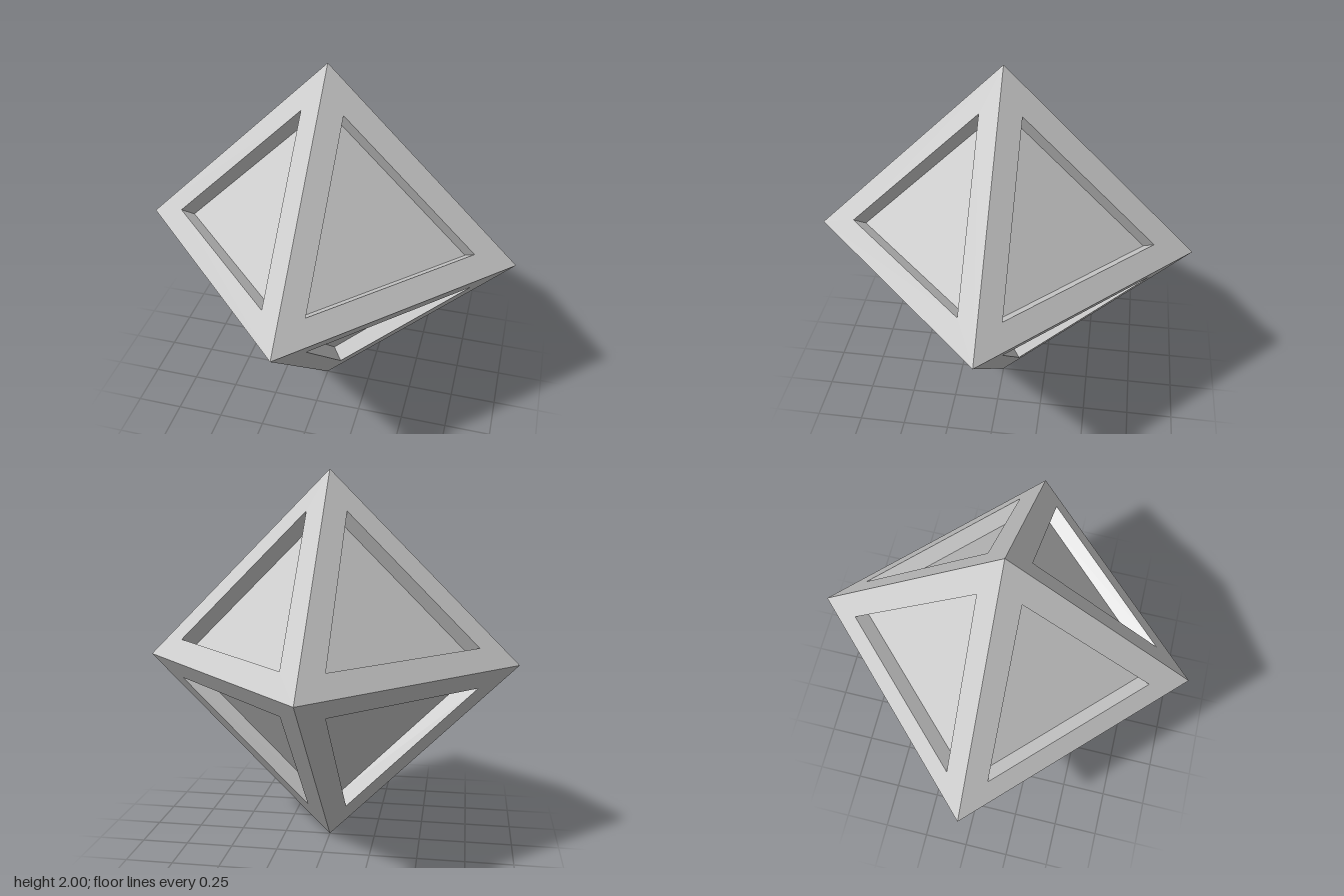
import * as THREE from 'three';

const INSET = 0.105; // distance of each opening from the coordinate planes
const SINK = 0.05;   // recess shift along each axis, straight into the face

// Triangle of an octant: every corner lies on its own axis
function ring(low, high, signs) {
  return [0, 1, 2].map((k) =>
    new THREE.Vector3(...signs.map((s, i) => s * (i === k ? high : low))));
}

function buildGeometry(triangles, flip) {
  const points = triangles.flatMap(([a, b, c]) => (flip ? [a, c, b] : [a, b, c]));
  const geometry = new THREE.BufferGeometry().setFromPoints(points);
  geometry.computeVertexNormals();
  return geometry;
}

// Band of three quads between two triangular rings
function band(outer, inner) {
  return [0, 1, 2].flatMap((i) => {
    const j = (i + 1) % 3;
    return [[outer[i], outer[j], inner[j]], [outer[i], inner[j], inner[i]]];
  });
}

export function createModel() {
  const model = new THREE.Group();
  model.name = 'recessedOctahedron';
  const material = new THREE.MeshStandardMaterial({ color: 0xcccccc, flatShading: true });

  for (const x of [1, -1]) for (const y of [1, -1]) for (const z of [1, -1]) {
    const signs = [x, y, z];
    const flip = x * y * z < 0;
    const outer = ring(0, 1, signs);
    const opening = ring(INSET, 1 - 2 * INSET, signs);
    const floor = ring(INSET - SINK, 1 - 2 * INSET - SINK, signs);

    const face = new THREE.Group();
    face.name = `${y > 0 ? 'upper' : 'lower'}${z > 0 ? 'Front' : 'Back'}${x > 0 ? 'Left' : 'Right'}Face`;
    const parts = {
      frame: band(outer, opening),
      recessWalls: band(opening, floor),
      recessFloor: [floor],
    };
    for (const [name, triangles] of Object.entries(parts)) {
      const mesh = new THREE.Mesh(buildGeometry(triangles, flip), material);
      mesh.name = name;
      face.add(mesh);
    }
    face.position.y = 1; // lowest tip rests on the ground
    model.add(face);
  }
  return model;
}
